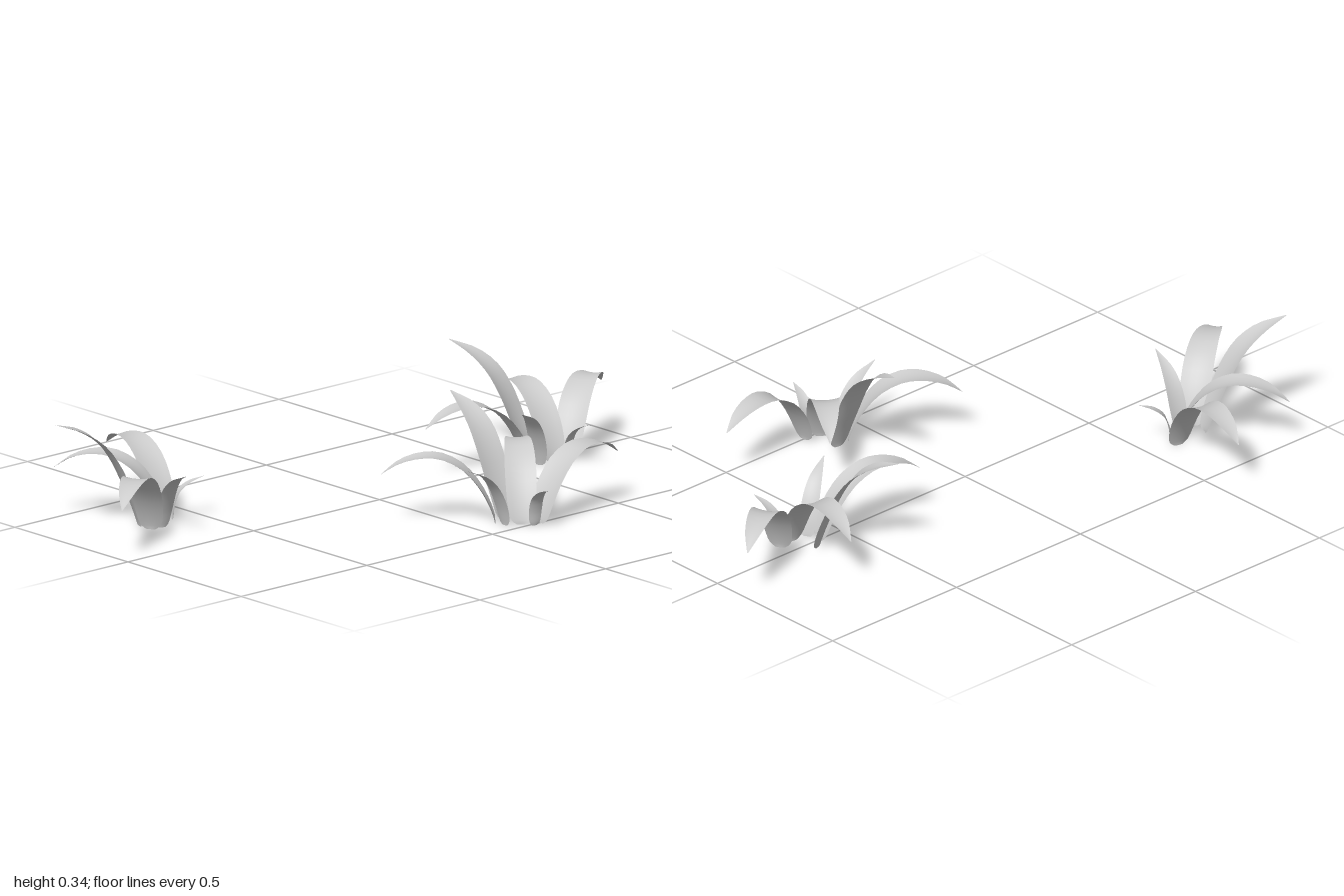
import * as THREE from 'three';

const material = new THREE.MeshStandardMaterial({ color: 0xcccccc, side: THREE.DoubleSide });

// Leaf profiles: [distance outward, height, width] from rounded root to pointed tip
const archProfile = [[-0.003, 0.005, 0.03], [0, 0.02, 0.066], [0.015, 0.06, 0.084], [0.045, 0.115, 0.092],
  [0.095, 0.172, 0.092], [0.16, 0.205, 0.084], [0.22, 0.207, 0.071], [0.28, 0.19, 0.047], [0.334, 0.155, 0.003]];
const tallProfile = [[-0.003, 0.005, 0.03], [0, 0.02, 0.06], [0.015, 0.065, 0.077], [0.04, 0.125, 0.088],
  [0.075, 0.2, 0.092], [0.12, 0.265, 0.085], [0.18, 0.31, 0.061], [0.26, 0.34, 0.003]];
const sproutProfile = [[-0.002, 0.005, 0.016], [0, 0.016, 0.034], [0.004, 0.05, 0.042], [0.018, 0.09, 0.04],
  [0.048, 0.117, 0.028], [0.093, 0.135, 0.002]];
const youngProfile = [[-0.002, 0.005, 0.02], [0, 0.016, 0.04], [0.012, 0.06, 0.054], [0.04, 0.12, 0.052],
  [0.08, 0.165, 0.038], [0.15, 0.2, 0.002]];

// Slightly cupped leaf blade growing from the origin along +z
function leafGeometry(profile, rows = 18, cols = 6) {
  const curve = new THREE.CatmullRomCurve3(profile.map(([d, h, w]) => new THREE.Vector3(w, h, d)));
  const positions = [], index = [];
  for (let i = 0; i <= rows; i++) {
    const p = curve.getPoint(i / rows);
    const t = curve.getTangent(i / rows);
    const len = Math.hypot(t.y, t.z);
    for (let j = 0; j <= cols; j++) {
      const u = (j / cols) * 2 - 1;
      const cup = 0.07 * p.x * u * u;
      positions.push(u * p.x / 2, p.y + cup * t.z / len, p.z - cup * t.y / len);
      if (i < rows && j < cols) {
        const a = i * (cols + 1) + j, b = a + cols + 1;
        index.push(a, b, a + 1, b, b + 1, a + 1);
      }
    }
  }
  const geometry = new THREE.BufferGeometry();
  geometry.setAttribute('position', new THREE.Float32BufferAttribute(positions, 3));
  geometry.setIndex(index);
  geometry.computeVertexNormals();
  return geometry;
}

export function createModel() {
  const arch = leafGeometry(archProfile);
  const tall = leafGeometry(tallProfile);
  const sprout = leafGeometry(sproutProfile);
  const young = leafGeometry(youngProfile);

  // Each leaf: name, geometry, root x/z, tip x/z
  const leaves = [
    ['leftArchLeaf', arch, -0.052, -0.033, -0.31, -0.25],
    ['tallLeaf', tall, 0.002, -0.048, 0.022, -0.31],
    ['middleArchLeaf', arch, -0.002, 0.037, 0.2, -0.22],
    ['rightArchLeaf', arch, 0.05, 0.06, 0.38, 0.033],
    ['sproutLeaf', sprout, 0.016, 0.075, -0.009, 0.164],
    ['youngLeaf', young, -0.05, 0.01, -0.2, 0.015],
  ];

  // The same plant three times, turned about y: x, z, degrees
  const plants = [[0.14, 0.44, 0], [0.64, 0.009, 26], [-0.672, -0.2555, 73.7]];

  const model = new THREE.Group();
  model.name = 'plantCluster';
  plants.forEach(([x, z, degrees], n) => {
    const plant = new THREE.Group();
    plant.name = `plant${n + 1}`;
    for (const [name, geometry, rx, rz, tx, tz] of leaves) {
      const leaf = new THREE.Mesh(geometry, material);
      leaf.name = name;
      leaf.position.set(rx, 0, rz);
      leaf.rotation.y = Math.atan2(tx - rx, tz - rz);
      plant.add(leaf);
    }
    plant.position.set(x, 0, z);
    plant.rotation.y = THREE.MathUtils.degToRad(degrees);
    model.add(plant);
  });
  return model;
}
